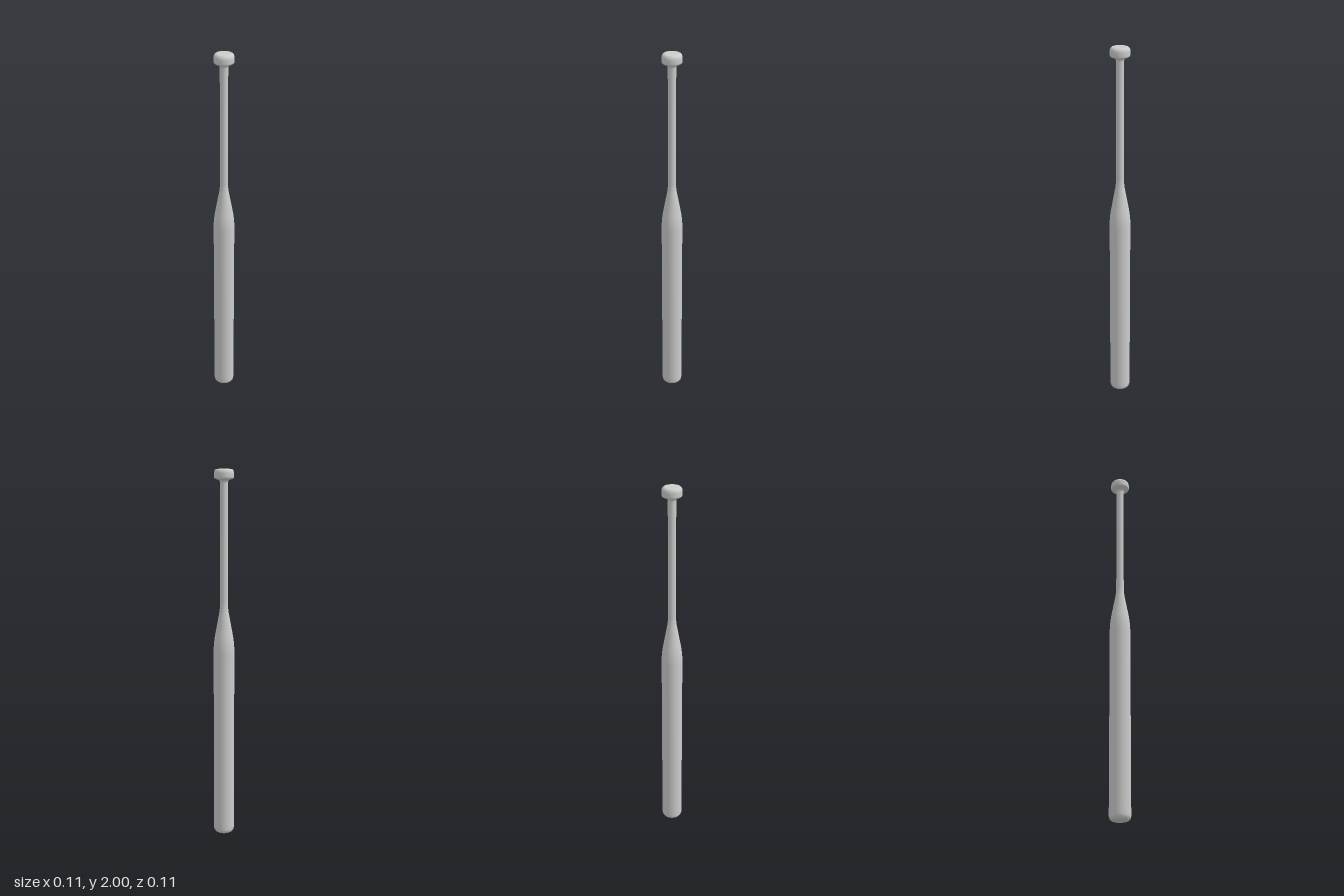
import * as THREE from 'three';

const SIDES = 32;

// Profiles are [radius, height] pairs running from bottom to top.
const profiles = {
  barrel: [
    [0, 0], [0.04, 0], [0.043, 0.001], [0.049, 0.006], [0.054, 0.014], [0.056, 0.024],
    [0.056, 0.05], [0.056, 1.0], [0.056, 1.04],
  ],
  taper: [
    [0.056, 1.04], [0.0555, 1.06], [0.053, 1.09], [0.049, 1.12], [0.025, 1.25],
    [0.0225, 1.27], [0.021, 1.29],
  ],
  handle: [[0.021, 1.29], [0.021, 1.93]],
  knob: [
    [0.021, 1.93], [0.0225, 1.938], [0.028, 1.944], [0.044, 1.949], [0.05, 1.953], [0.052, 1.959],
    [0.052, 1.978], [0.051, 1.986], [0.048, 1.993], [0.043, 1.998], [0.038, 2], [0.035, 2], [0, 2],
  ],
};

export function createModel() {
  const bat = new THREE.Group();
  bat.name = 'bat';
  const material = new THREE.MeshStandardMaterial({ color: 0xcccccc });

  // Turn each section around the vertical axis
  for (const [name, profile] of Object.entries(profiles)) {
    const points = profile.map(([r, y]) => new THREE.Vector2(r, y));
    const mesh = new THREE.Mesh(new THREE.LatheGeometry(points, SIDES), material);
    mesh.name = name;
    bat.add(mesh);
  }
  return bat;
}
